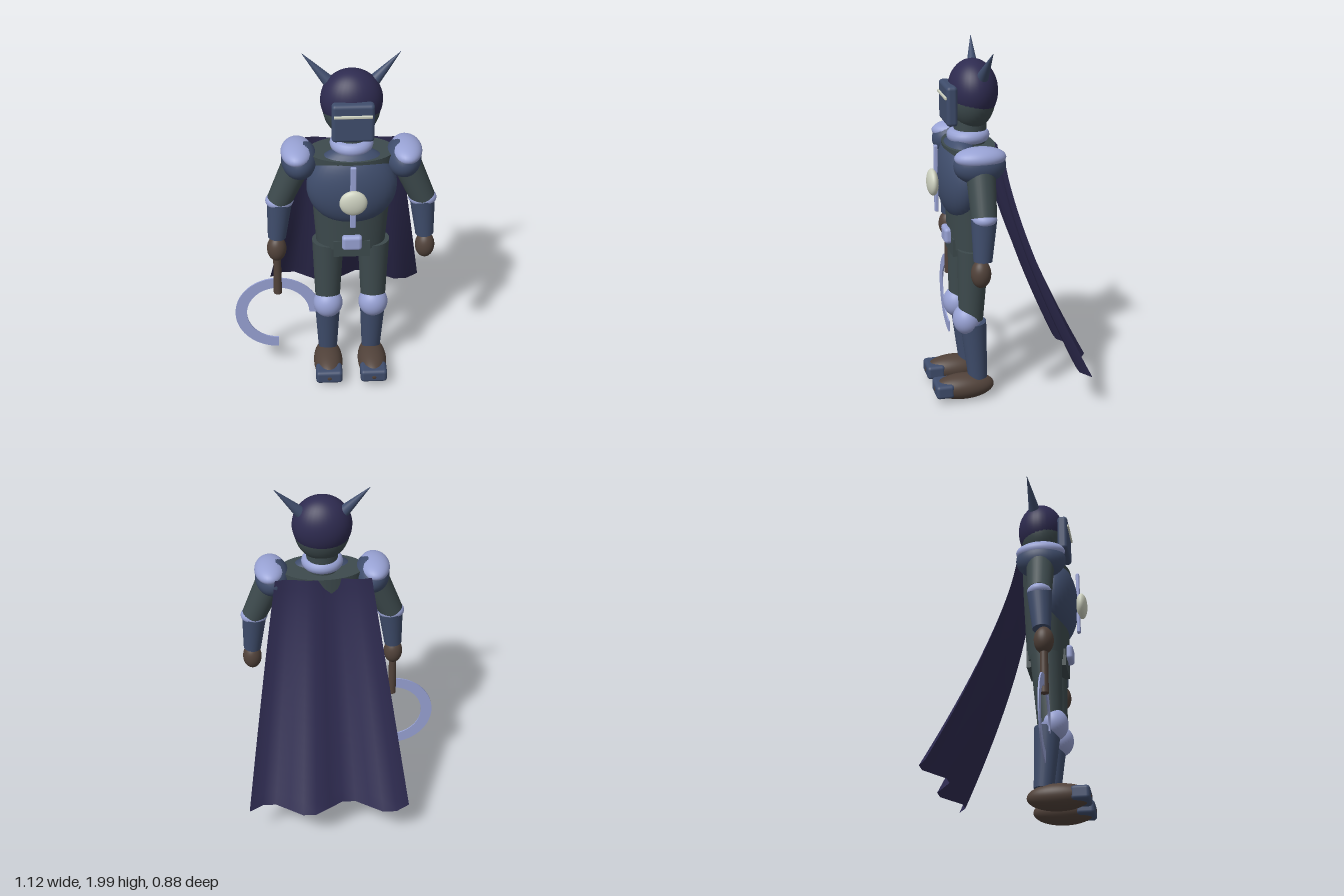
import * as THREE from 'three';
import { RoundedBoxGeometry } from 'three/addons/geometries/RoundedBoxGeometry.js';

const mat = (name, color, side = THREE.FrontSide) => {
  const m = new THREE.MeshStandardMaterial({ color, side });
  m.name = name;
  return m;
};

export function createModel() {
  const steel = mat('steel blue', 0x3f4d6c);
  const cloth = mat('dark grey green', 0x3d4a4d);
  const trim = mat('pale lavender', 0x98a2d4);
  const navy = mat('navy', 0x2e2b50, THREE.DoubleSide);
  const leather = mat('brown leather', 0x51423a);
  const ivory = mat('ivory', 0xcdd1c0);

  const model = new THREE.Group();
  const body = new THREE.Group();
  body.name = 'knight';
  body.position.x = 0.092;
  model.add(body);

  const add = (name, geometry, material, x = 0, y = 0, z = 0) => {
    const m = new THREE.Mesh(geometry, material);
    m.name = name;
    m.position.set(x, y, z);
    body.add(m);
    return m;
  };
  const ball = (name, material, c, r, theta = Math.PI) =>
    add(name, new THREE.SphereGeometry(1, 32, 24, 0, Math.PI * 2, 0, theta).scale(...r), material, ...c);
  const block = (name, material, c, s, radius) =>
    add(name, new RoundedBoxGeometry(...s, 3, radius), material, ...c);
  // Tapered round bar from a to b
  const limb = (name, material, a, b, ra, rb) => {
    const from = new THREE.Vector3(...a), to = new THREE.Vector3(...b);
    const dir = to.clone().sub(from);
    const m = add(name, new THREE.CylinderGeometry(rb, ra, dir.length(), 28), material);
    m.position.copy(from).add(to).multiplyScalar(0.5);
    m.quaternion.setFromUnitVectors(new THREE.Vector3(0, 1, 0), dir.normalize());
    return m;
  };

  // Head and helmet
  ball('head', cloth, [0, 1.72, 0.175], [0.153, 0.175, 0.125]);
  limb('neck', cloth, [0, 1.46, 0.19], [0, 1.62, 0.183], 0.085, 0.09);
  ball('helmetDome', navy, [0, 1.757, 0.17], [0.164, 0.169, 0.134], Math.PI * 0.7);
  block('visor', steel, [0, 1.695, 0.304], [0.222, 0.217, 0.06], 0.02);
  block('eyeSlit', ivory, [0, 1.74, 0.337], [0.2, 0.016, 0.012], 0.004);
  add('collar', new THREE.TorusGeometry(0.08, 0.036, 14, 36).rotateX(Math.PI / 2), trim, 0, 1.513, 0.198);

  // Torso, with a flattened cross-section
  add('torso', new THREE.CylinderGeometry(0.233, 0.19, 0.58, 36).scale(1, 1, 0.6), cloth, 0, 1.18, 0.198);
  add('pelvis', new THREE.BoxGeometry(0.2, 0.1, 0.22), cloth, 0, 0.902, 0.2);
  ball('breastplate', steel, [0, 1.283, 0.25], [0.243, 0.236, 0.125]);
  block('chestStrip', trim, [0, 1.278, 0.377], [0.032, 0.375, 0.02], 0.006);
  ball('chestGem', ivory, [0, 1.258, 0.397], [0.074, 0.074, 0.032]);
  block('buckle', trim, [0, 0.955, 0.32], [0.11, 0.09, 0.05], 0.02);

  for (const [side, s] of [['left', 1], ['right', -1]]) {
    limb(side + 'Horn', steel, [s * 0.105, 1.835, 0.146], [s * 0.255, 2.0, 0.12], 0.036, 0.001);

    // Arm
    ball(side + 'ShoulderPlate', steel, [s * 0.277, 1.42, 0.2], [0.097, 0.1, 0.14]);
    ball(side + 'ShoulderTrim', trim, [s * 0.29, 1.466, 0.2], [0.086, 0.056, 0.138]);
    limb(side + 'UpperArm', cloth, [s * 0.28, 1.42, 0.198], [s * 0.39, 1.165, 0.205], 0.08, 0.068);
    ball(side + 'ElbowTrim', trim, [s * 0.388, 1.165, 0.205], [0.077, 0.045, 0.068]);
    limb(side + 'Forearm', steel, [s * 0.388, 1.16, 0.205], [s * 0.407, 0.935, 0.217], 0.069, 0.05);
    ball(side + 'Hand', leather, [s * 0.41, 0.865, 0.228], [0.054, 0.077, 0.054]);

    // Leg
    limb(side + 'Thigh', cloth, [s * 0.126, 0.9, 0.203], [s * 0.129, 0.49, 0.22], 0.088, 0.068);
    ball(side + 'KneeGuard', trim, [s * 0.128, 0.49, 0.243], [0.083, 0.088, 0.078]);
    limb(side + 'Shin', steel, [s * 0.129, 0.47, 0.207], [s * 0.126, 0.13, 0.182], 0.073, 0.054);
    ball(side + 'Boot', leather, [s * 0.128, 0.08, 0.263], [0.083, 0.073, 0.173]);
    block(side + 'ToeCap', steel, [s * 0.128, 0.082, 0.381], [0.152, 0.08, 0.104], 0.02);
  }

  // Sickle held in the right hand
  limb('sickleHandle', leather, [-0.41, 0.56, 0.228], [-0.41, 0.83, 0.228], 0.024, 0.021);
  const arc = new THREE.Shape();
  arc.absarc(0, 0, 0.243, 0, Math.PI * 1.5, false);
  arc.absarc(0, 0, 0.178, Math.PI * 1.5, 0, true);
  add('sickleBlade', new THREE.ExtrudeGeometry(arc, { depth: 0.008, bevelEnabled: false, curveSegments: 40 }),
    trim, -0.412, 0.415, 0.224);

  // Cape: flares outwards and back, with folds that deepen towards the hem
  const cape = new THREE.PlaneGeometry(1, 1, 12, 20);
  const p = cape.attributes.position;
  for (let i = 0; i < p.count; i++) {
    const u = p.getX(i) + 0.5, t = 0.5 - p.getY(i);
    const fold = (0.01 + 0.048 * t) * Math.sin(u * Math.PI * 4);
    p.setXYZ(i, (u - 0.5) * (0.53 + 0.385 * t), 1.47 - 1.262 * t, 0.066 - 0.455 * Math.pow(t, 1.4) - fold);
  }
  cape.computeVertexNormals();
  add('cape', cape, navy);

  return model;
}
